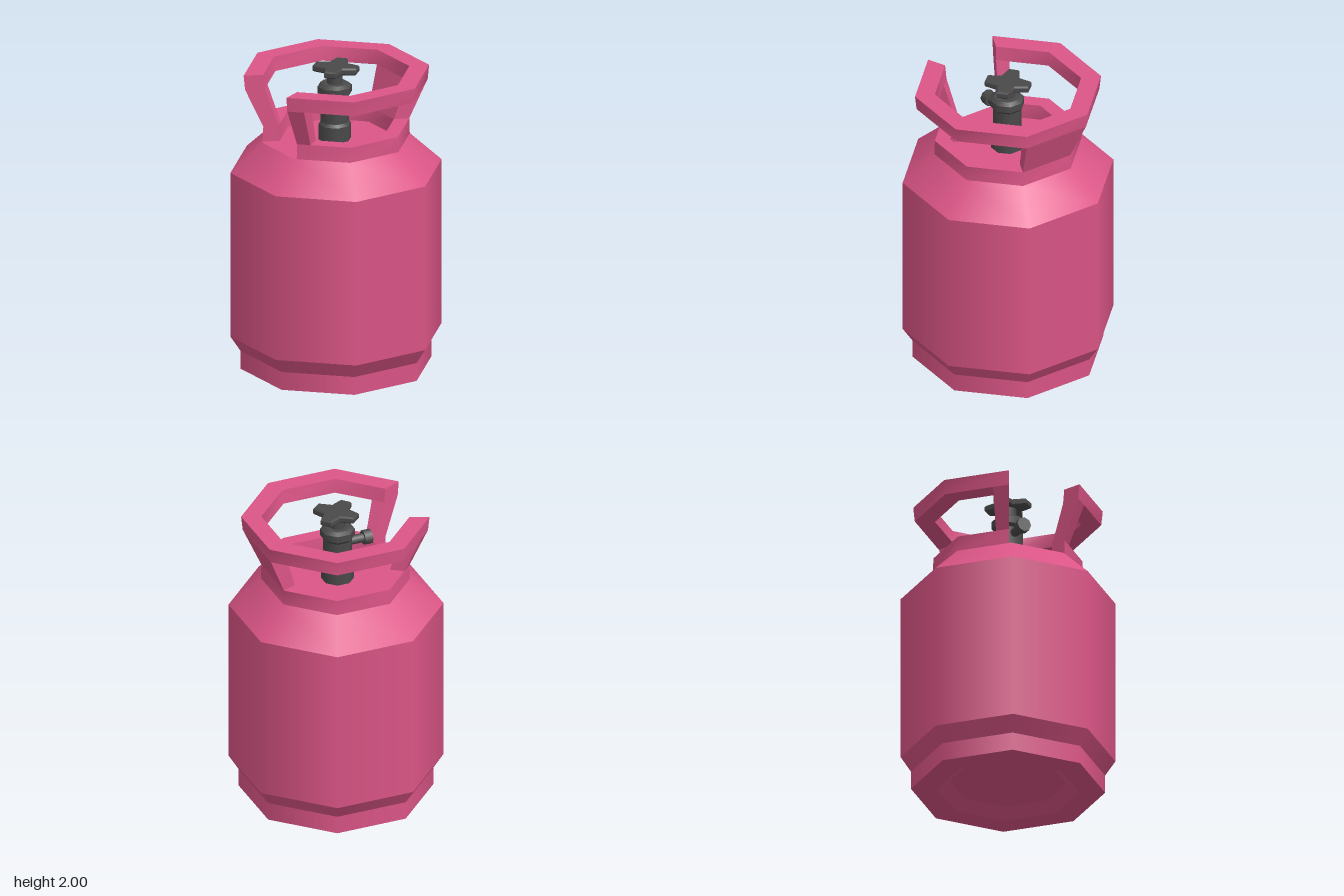
import * as THREE from 'three';
import { toCreasedNormals, mergeGeometries } from 'three/addons/utils/BufferGeometryUtils.js';

const SIDES = 8;
const TURN = THREE.MathUtils.degToRad(22);

// Eight-sided lathe: smooth around, with a sharp edge between bands
function bands(profile) {
  const parts = [];
  for (let i = 0; i < profile.length - 1; i++) {
    const pts = [profile[i], profile[i + 1]].map(([r, y]) => new THREE.Vector2(r, y));
    parts.push(new THREE.LatheGeometry(pts, SIDES, TURN));
  }
  return mergeGeometries(parts);
}

// Point on an octagon of radius r; k counts corners and may be fractional
function onOctagon(k, r, y) {
  const corner = (n) => {
    const a = THREE.MathUtils.degToRad(23 + 45 * n);
    return new THREE.Vector3(r * Math.cos(a), y, r * Math.sin(a));
  };
  const n = Math.floor(k);
  return corner(n).lerp(corner(n + 1), k - n);
}

// Octagonal wall from corner k0 to k1 between two levels {y, outer, inner}
function wall(k0, k1, low, high) {
  const ks = [k0];
  for (let k = Math.floor(k0) + 1; k < k1; k++) ks.push(k);
  ks.push(k1);
  const pos = [];
  const quad = (a, b, c, d) => {
    for (const p of [a, b, c, a, c, d]) pos.push(p.x, p.y, p.z);
  };
  const section = (k) => ({
    o0: onOctagon(k, low.outer, low.y), i0: onOctagon(k, low.inner, low.y),
    o1: onOctagon(k, high.outer, high.y), i1: onOctagon(k, high.inner, high.y),
  });
  const s = ks.map(section);
  for (let j = 0; j < s.length - 1; j++) {
    const a = s[j], b = s[j + 1];
    quad(b.o0, a.o0, a.o1, b.o1);
    quad(a.i0, b.i0, b.i1, a.i1);
    quad(a.i1, b.i1, b.o1, a.o1);
    quad(a.o0, b.o0, b.i0, a.i0);
  }
  const a = s[0], b = s[s.length - 1];
  quad(a.i0, a.i1, a.o1, a.o0);
  quad(b.o0, b.o1, b.i1, b.i0);
  const geo = new THREE.BufferGeometry();
  geo.setAttribute('position', new THREE.Float32BufferAttribute(pos, 3));
  return toCreasedNormals(geo, 0.9);
}

export function createModel() {
  const model = new THREE.Group();
  model.name = 'gasCylinder';
  const pink = new THREE.MeshStandardMaterial({ color: 0xdb5586 });
  pink.name = 'pink paint';
  const grey = new THREE.MeshStandardMaterial({ color: 0x4a4a4a });
  grey.name = 'dark grey metal';
  const add = (name, geo, mat, parent = model) => {
    const mesh = new THREE.Mesh(geo, mat);
    mesh.name = name;
    parent.add(mesh);
    return mesh;
  };

  // Tank with foot ring and recessed underside
  add('tank', bands([
    [0, 0.06], [0.37, 0.06], [0.45, 0], [0.615, 0], [0.615, 0.12],
    [0.68, 0.22], [0.68, 1.32], [0.475, 1.51], [0, 1.51],
  ]), pink);

  // Carrying guard, open on one side
  const guard = new THREE.Group();
  guard.name = 'guard';
  model.add(guard);
  const START = 4.05, END = 10.95;
  const bottom = { y: 1.51, outer: 0.475, inner: 0.365 };
  const sill = { y: 1.61, outer: 0.472, inner: 0.372 };
  const lintel = { y: 1.865, outer: 0.59, inner: 0.462 };
  const top = { y: 1.96, outer: 0.6, inner: 0.472 };
  add('guardCollar', wall(START, END, bottom, sill), pink, guard);
  add('handleRing', wall(START, END, lintel, top), pink, guard);
  for (const [name, k0, k1] of [
    ['rightEndPost', START, 4.29], ['backPost', 7, 8], ['leftEndPost', 10.71, END],
  ]) add(name, wall(k0, k1, sill, lintel), pink, guard);

  // Valve body
  const valve = new THREE.Group();
  valve.name = 'valve';
  valve.position.x = -0.01;
  model.add(valve);
  add('valveStem', bands([
    [0.105, 1.51], [0.105, 1.61], [0.092, 1.63], [0.092, 1.8], [0.11, 1.82],
    [0.11, 1.865], [0.085, 1.885], [0.05, 1.885], [0.05, 1.96],
  ]), grey, valve);

  // Side outlet with nut
  for (const [name, r, x0, x1] of [
    ['outletPipe', 0.03, -0.18, -0.05], ['outletNut', 0.048, -0.228, -0.175],
  ]) {
    const geo = new THREE.CylinderGeometry(r, r, x1 - x0, SIDES);
    geo.rotateZ(Math.PI / 2);
    add(name, geo, grey, valve).position.set((x0 + x1) / 2, 1.76, 0);
  }

  // Four-lobed hand wheel
  const outline = [];
  for (let i = 0; i < 4; i++) {
    for (const [deg, r] of [[-14, 0.147], [14, 0.147], [45, 0.082]]) {
      const a = THREE.MathUtils.degToRad(50 + 90 * i + deg);
      outline.push(new THREE.Vector2(r * Math.cos(a), r * Math.sin(a)));
    }
  }
  const wheel = new THREE.ExtrudeGeometry(new THREE.Shape(outline), {
    depth: 0.026, bevelEnabled: true, bevelSegments: 1,
    bevelThickness: 0.01, bevelSize: 0.008, bevelOffset: -0.006,
  });
  wheel.rotateX(Math.PI / 2);
  add('handWheel', wheel, grey).position.y = 1.99;

  return model;
}
